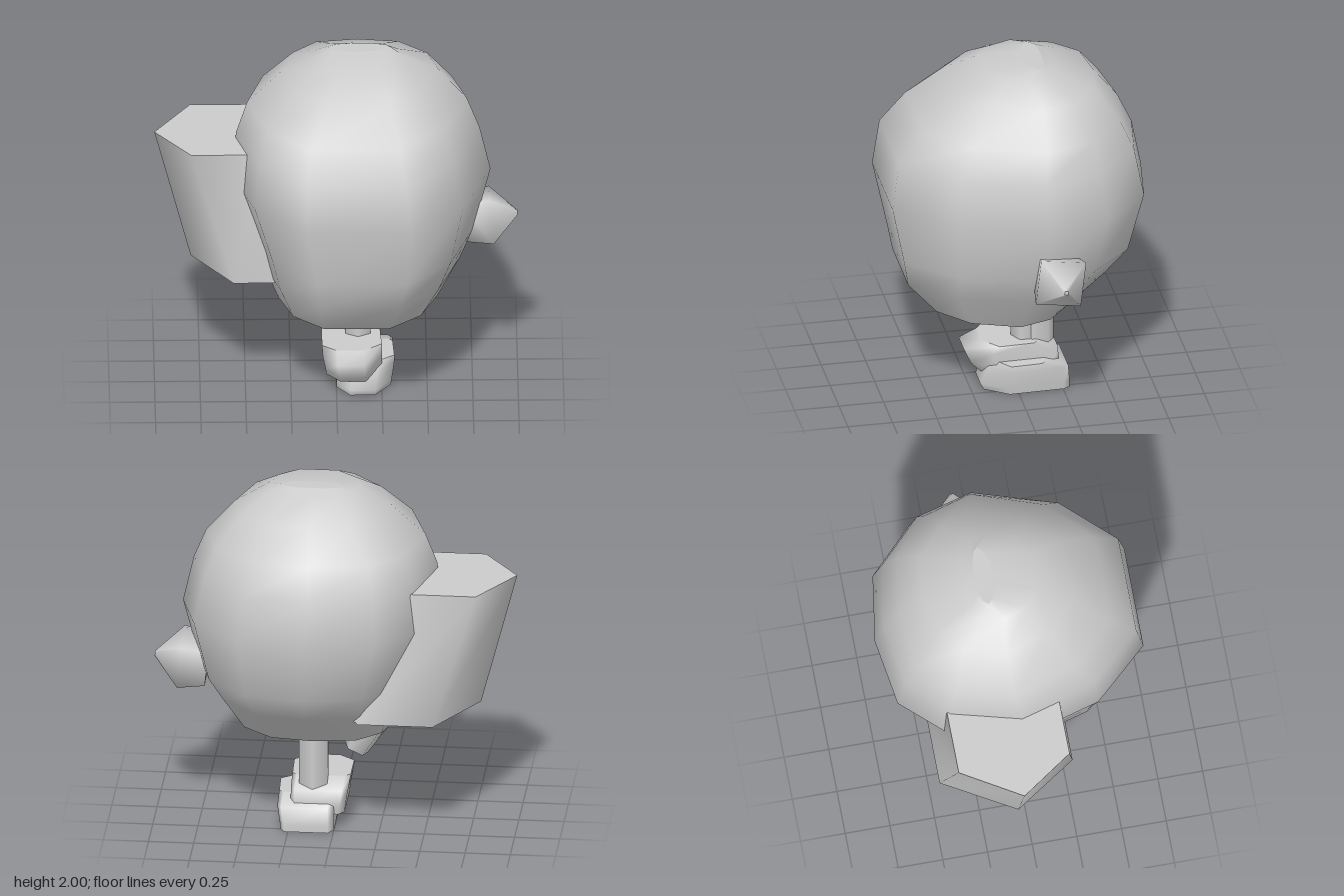
import * as THREE from 'three';

const material = new THREE.MeshStandardMaterial({ color: 0xcccccc, side: THREE.DoubleSide });

// Regular outline in unit x/z space, counterclockwise from above
const ngon = (n, turn = 0) => Array.from({ length: n }, (_, i) => {
  const a = turn + (i / n) * Math.PI * 2;
  return [Math.sin(a), Math.cos(a)];
});

// Smooth-sided capped loft; each ring is [y, xMin, xMax, zMin, zMax]
function loft(outline, rings) {
  const n = outline.length, pos = [], idx = [];
  const addRing = ([y, x0, x1, z0, z1]) => {
    const start = pos.length / 3;
    for (const [u, v] of outline) {
      pos.push((x0 + x1) / 2 + u * (x1 - x0) / 2, y, (z0 + z1) / 2 + v * (z1 - z0) / 2);
    }
    return start;
  };
  const starts = rings.map(addRing);
  for (let j = 0; j < rings.length - 1; j++) {
    for (let i = 0; i < n; i++) {
      const k = (i + 1) % n, a = starts[j], b = starts[j + 1];
      idx.push(a + i, a + k, b + k, a + i, b + k, b + i);
    }
  }
  const bottom = addRing(rings[0]), top = addRing(rings[rings.length - 1]);
  for (let i = 1; i < n - 1; i++) {
    idx.push(bottom, bottom + i + 1, bottom + i, top, top + i, top + i + 1);
  }
  const g = new THREE.BufferGeometry();
  g.setAttribute('position', new THREE.Float32BufferAttribute(pos, 3));
  g.setIndex(idx);
  g.computeVertexNormals();
  return g;
}

export function createModel() {
  const model = new THREE.Group();
  const add = (name, geometry, x = 0, y = 0, z = 0) => {
    const mesh = new THREE.Mesh(geometry, material);
    mesh.name = name;
    mesh.position.set(x, y, z);
    model.add(mesh);
    return mesh;
  };

  // Large rounded body shell; the rim ring is doubled to keep its edge sharp around the recessed underside
  const bodyOutline = [
    [-0.43, 1], [0.38, 1], [0.78, 0.58], [1, -0.1], [0.87, -0.57], [0.51, -0.92],
    [-0.02, -1], [-0.55, -0.92], [-0.85, -0.6], [-1, -0.04], [-0.82, 0.58],
  ];
  const rim = [0.55, -0.32, 0.56, -0.30, 0.46];
  add('bodyShell', loft(bodyOutline, [
    [0.63, -0.34, 0.59, -0.36, 0.51],
    rim,
    rim,
    [0.76, -0.41, 0.68, -0.50, 0.63],
    [0.92, -0.46, 0.76, -0.63, 0.66],
    [1.27, -0.58, 0.85, -0.72, 0.73],
    [1.53, -0.55, 0.79, -0.67, 0.69],
    [1.70, -0.49, 0.72, -0.59, 0.55],
    [1.88, -0.30, 0.56, -0.45, 0.36],
    [1.975, -0.13, 0.38, -0.22, 0.17],
    [2.0, -0.04, 0.30, -0.16, -0.06],
  ]));

  // Large six-sided arm, leaning outwards and narrowing upwards
  const armOutline = [
    [1, 0], [0.5, -0.866], [-0.46, -0.866], [-1, 0.06], [-0.46, 0.866], [0.5, 0.866],
  ].map(([u, v]) => [u, v / 0.866]);
  add('rightArm', loft(armOutline, [
    [0.735, -0.80, 0.06, -0.485, 0.26],
    [1.495, -1.00, -0.26, -0.42, 0.20],
  ]));

  // Small four-sided fist with a pointed outer end
  const fist = add('leftFist', loft(ngon(4, Math.PI / 4), [
    [-0.16, -0.15, 0.15, -0.15, 0.15],
    [-0.01, -0.18, 0.18, -0.18, 0.18],
    [0.135, -0.015, 0.015, -0.015, 0.015],
  ]), 0.865, 0.955, -0.125);
  fist.rotation.set(-0.14, 0, -Math.PI / 2 + 0.1);

  // Thin hip panel under the body
  add('hipPanel', new THREE.BoxGeometry(0.49, 0.18, 0.02), 0.115, 0.55, -0.04);

  // Legs, one just behind the other
  add('frontLeg', new THREE.CylinderGeometry(0.08, 0.08, 0.44, 6), 0.12, 0.44, -0.07);
  add('backLeg', new THREE.CylinderGeometry(0.09, 0.09, 0.52, 6), 0.12, 0.40, -0.14);

  // Feet with tapered toes, overlapping in stride
  const footOutline = [
    [-0.5, 1], [0.4, 1], [1, 0.45], [0.95, -0.85], [0.8, -1], [-0.8, -1], [-1, -0.8], [-1, 0.55],
  ];
  add('raisedFoot', loft(footOutline, [
    [0.09, -0.055, 0.25, -0.23, 0.19],
    [0.14, -0.06, 0.25, -0.24, 0.24],
    [0.23, -0.075, 0.25, -0.235, 0.28],
    [0.275, -0.08, 0.25, -0.12, 0.18],
  ]));
  add('groundFoot', loft(footOutline, [
    [0, 0, 0.30, -0.29, 0.18],
    [0.04, 0, 0.305, -0.29, 0.20],
    [0.14, 0, 0.32, -0.28, 0.16],
    [0.18, 0, 0.32, -0.15, 0.12],
  ]));

  // Small slanted stub under the right side of the body
  const stub = add('hangingStub', new THREE.CylinderGeometry(0.12, 0.075, 0.24, 5), -0.155, 0.51, -0.02);
  stub.rotation.z = 0.45;

  return model;
}
